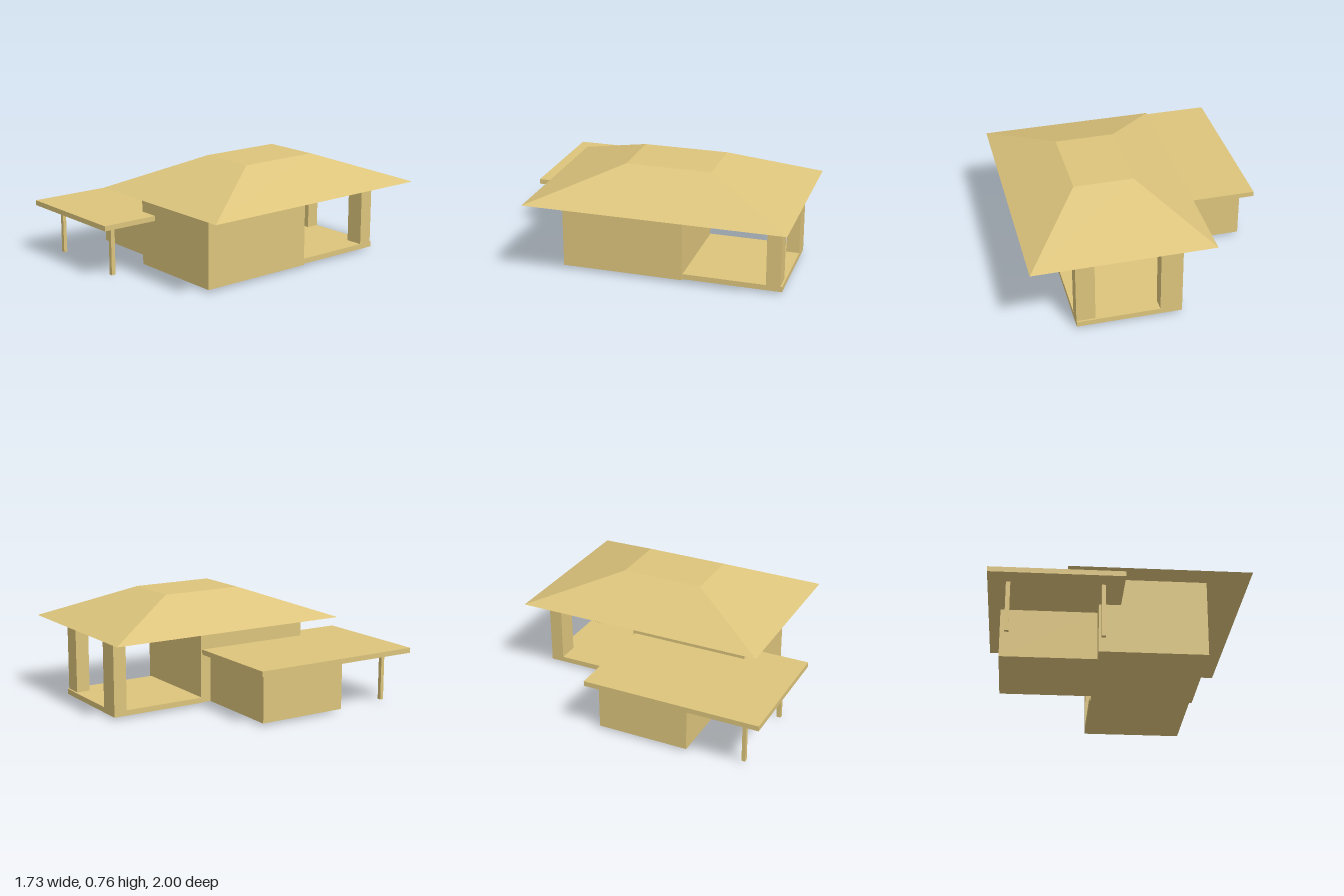
import * as THREE from 'three';

const material = new THREE.MeshStandardMaterial({ color: 0xdcc47c, flatShading: true });

// Box given by its limits on each axis
function block(name, [x0, x1], [y0, y1], [z0, z1]) {
  const mesh = new THREE.Mesh(new THREE.BoxGeometry(x1 - x0, y1 - y0, z1 - z0), material);
  mesh.position.set((x0 + x1) / 2, (y0 + y1) / 2, (z0 + z1) / 2);
  mesh.name = name;
  return mesh;
}

// Hipped block: a box whose upper corners are pulled in to a smaller rectangle
function hippedRoof(name, eaves, deck) {
  const geometry = new THREE.BoxGeometry(1, 1, 1);
  const p = geometry.attributes.position;
  for (let i = 0; i < p.count; i++) {
    const level = p.getY(i) > 0 ? deck : eaves;
    p.setXYZ(i, level.x[p.getX(i) > 0 ? 1 : 0], level.y, level.z[p.getZ(i) > 0 ? 1 : 0]);
  }
  geometry.computeVertexNormals();
  const mesh = new THREE.Mesh(geometry, material);
  mesh.name = name;
  return mesh;
}

export function createModel() {
  const house = new THREE.Group();
  house.name = 'house';
  const base = 0.018, eavesY = 0.545, slabTop = 0.055, canopyY = 0.357;

  house.add(
    // Main volume and its wide roof
    block('mainWalls', [-0.14, 0.58], [base, eavesY], [-0.245, 0.595]),
    hippedRoof('hippedRoof',
      { x: [-0.353, 0.863], y: eavesY, z: [-1, 0.763] },
      { x: [0.052, 0.457], y: 0.76, z: [-0.408, 0.175] }),

    // Rear porch under the main roof
    block('porchFloor', [-0.148, 0.562], [base, slabTop], [-0.922, -0.245]),
    block('porchPillarLeft', [0.435, 0.562], [slabTop, eavesY], [-0.91, -0.813]),
    block('porchPillarRight', [-0.148, 0], [slabTop, eavesY], [-0.922, -0.83]),

    // Low side wing with a flat canopy reaching forward on posts
    block('sideWing', [-0.785, -0.14], [base, canopyY], [-0.17, 0.47]),
    block('flatCanopy', [-0.865, 0.006], [canopyY, 0.392], [-0.235, 1]),
    block('canopyPostLeft', [-0.139, -0.112], [0, canopyY], [0.845, 0.875]),
    block('canopyPostRight', [-0.748, -0.72], [base, canopyY], [0.845, 0.87]),
  );
  return house;
}
